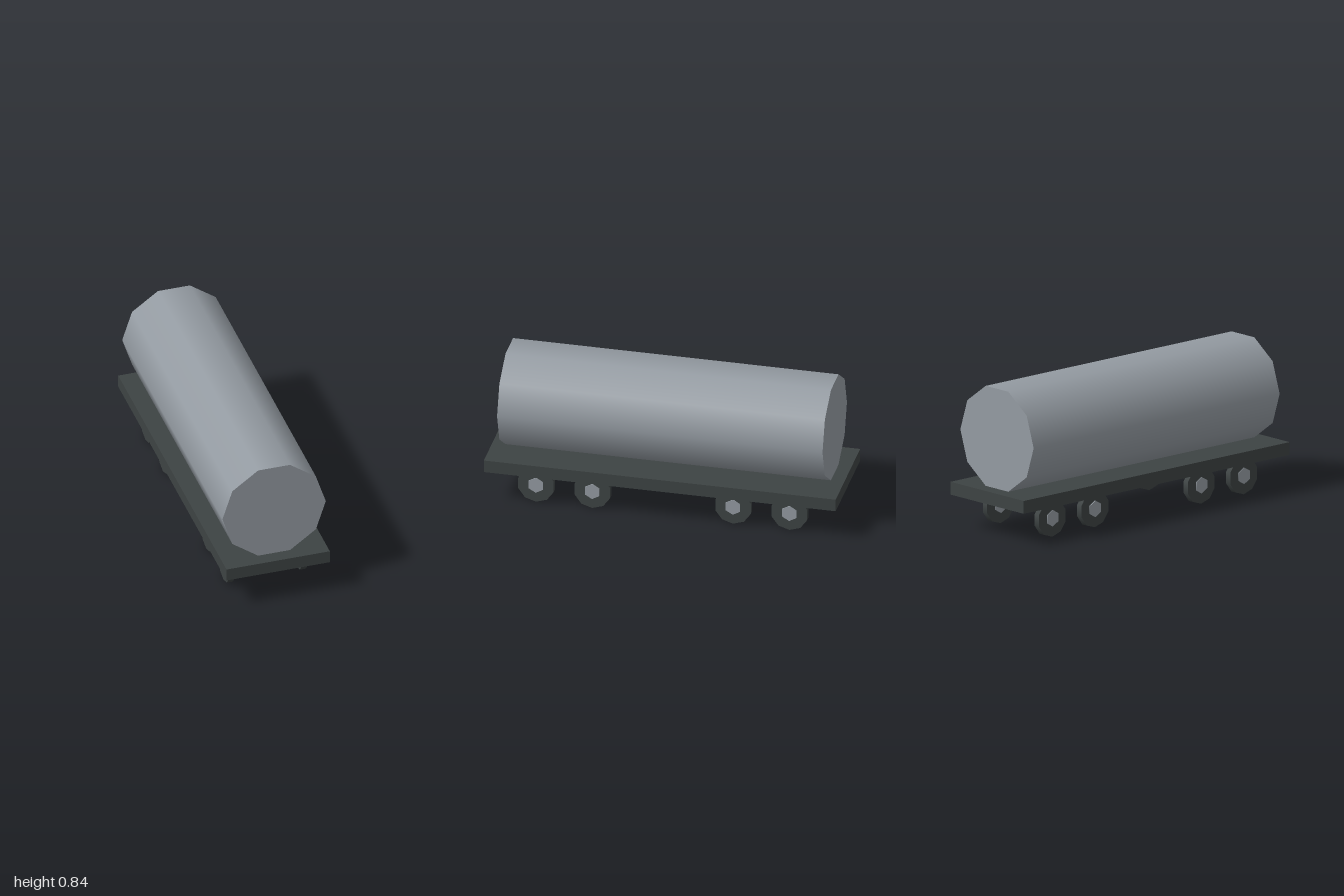
import * as THREE from 'three';

export function createModel() {
  const model = new THREE.Group();
  model.name = 'tankWagon';

  const steel = new THREE.MeshStandardMaterial({ color: 0x949ba2 });
  steel.name = 'steel grey';
  const iron = new THREE.MeshStandardMaterial({ color: 0x3d4343 });
  iron.name = 'dark iron';

  const add = (parent, name, geometry, material, x, y, z) => {
    const mesh = new THREE.Mesh(geometry, material);
    mesh.name = name;
    mesh.position.set(x, y, z);
    parent.add(mesh);
  };

  // Cylinder with one vertex on its local +x, before it is laid down
  const prism = (radius, length, sides) =>
    new THREE.CylinderGeometry(radius, radius, length, sides, 1, false, Math.PI / 2);

  // Ten-sided tank lying along z, just above the deck
  add(model, 'tank', prism(0.3, 1.85, 10).rotateX(Math.PI / 2), steel, 0, 0.551, 0);

  // Flat deck
  add(model, 'deck', new THREE.BoxGeometry(0.6, 0.073, 2), iron, 0, 0.227, 0);

  // Four pairs of wheels, with hubs showing on both faces
  const tyre = prism(0.106, 0.035, 10).rotateZ(Math.PI / 2);
  const hub = prism(0.047, 0.045, 6).rotateZ(Math.PI / 2);
  for (const z of [-0.72, -0.4, 0.4, 0.72]) {
    for (const side of [-1, 1]) {
      const wheel = new THREE.Group();
      wheel.name = side > 0 ? 'leftWheel' : 'rightWheel';
      wheel.position.set(side * 0.212, 0.106, z);
      add(wheel, 'tyre', tyre, iron, 0, 0, 0);
      add(wheel, 'hub', hub, steel, 0, 0, 0);
      model.add(wheel);
    }
  }

  return model;
}
